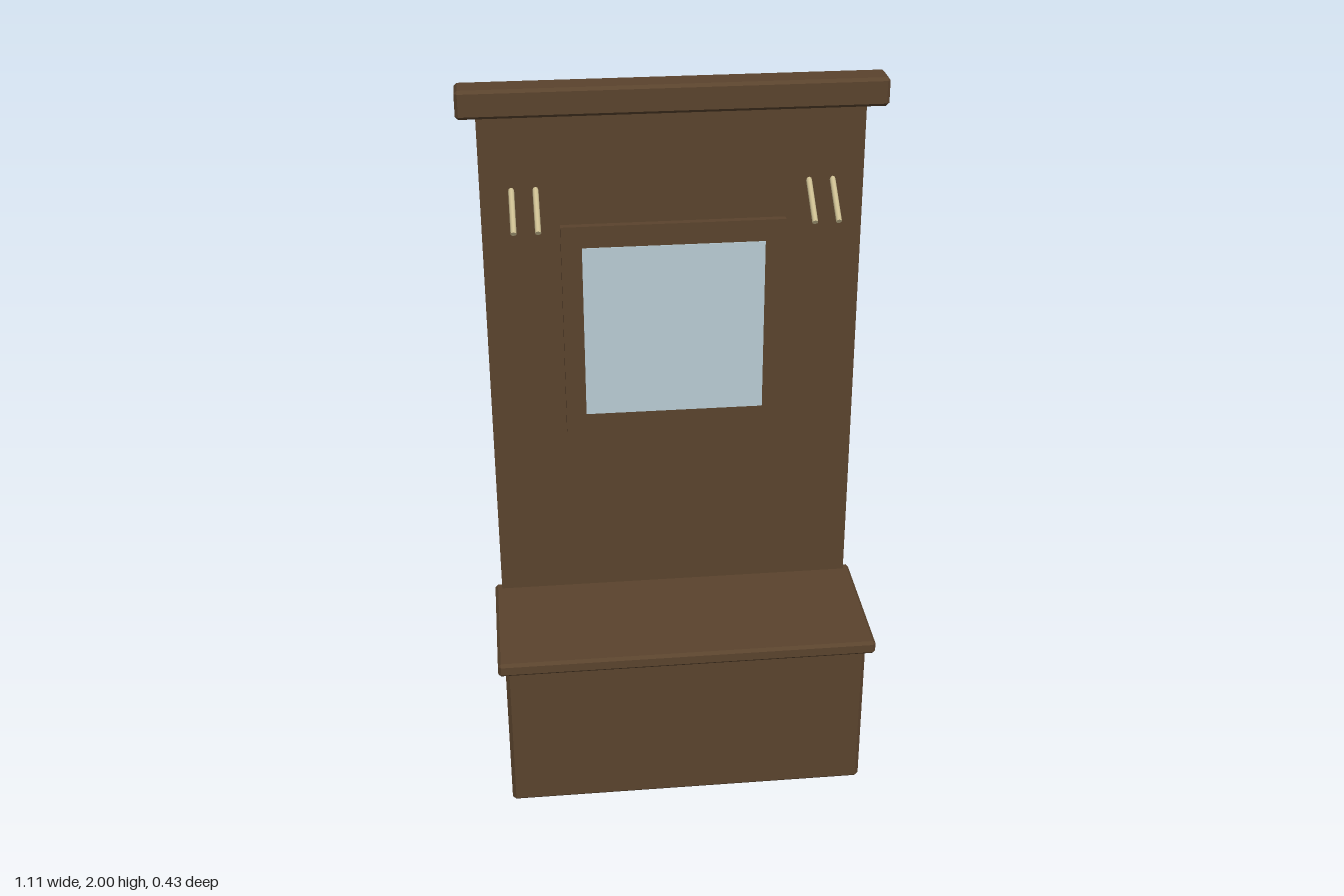
import * as THREE from 'three';
import { ConvexGeometry } from 'three/addons/geometries/ConvexGeometry.js';

const mat = (name, color) => new THREE.MeshStandardMaterial({ name, color });

// Box between two corners with every edge chamfered by c
function chamferBox([x0, y0, z0], [x1, y1, z1], c) {
  const half = [(x1 - x0) / 2, (y1 - y0) / 2, (z1 - z0) / 2];
  const points = [];
  for (const sx of [-1, 1]) for (const sy of [-1, 1]) for (const sz of [-1, 1]) {
    for (let axis = 0; axis < 3; axis++) {
      const p = half.map((h, i) => (i === axis ? h : h - c));
      points.push(new THREE.Vector3(sx * p[0], sy * p[1], sz * p[2]));
    }
  }
  return new ConvexGeometry(points).translate((x0 + x1) / 2, (y0 + y1) / 2, (z0 + z1) / 2);
}

// Plain box between two corners
function box([x0, y0, z0], [x1, y1, z1]) {
  return new THREE.BoxGeometry(x1 - x0, y1 - y0, z1 - z0)
    .translate((x0 + x1) / 2, (y0 + y1) / 2, (z0 + z1) / 2);
}

export function createModel() {
  const wood = mat('dark wood', 0x5a432d);
  const glass = mat('mirror glass', 0xb8ccd4);
  const brass = mat('pale brass', 0xcdbf92);

  const group = new THREE.Group();
  group.name = 'hallStand';
  const add = (name, geometry, material) => {
    const mesh = new THREE.Mesh(geometry, material);
    mesh.name = name;
    group.add(mesh);
    return mesh;
  };

  // Bench chest and its overhanging lid
  add('chest', chamferBox([-0.505, 0, -0.205], [0.505, 0.46, 0.18], 0.01), wood);
  add('seat', chamferBox([-0.525, 0.46, -0.205], [0.525, 0.5, 0.215], 0.008), wood);

  // Tall back board and cornice
  add('backPanel', box([-0.505, 0.5, -0.205], [0.505, 1.925, -0.175]), wood);
  add('cornice', chamferBox([-0.555, 1.925, -0.215], [0.555, 2, -0.13], 0.008), wood);

  // Mirror frame with the glass as a thin plate
  add('mirrorFrame', box([-0.3, 1.015, -0.175], [0.3, 1.62, -0.155]), wood);
  add('mirror', box([-0.245, 1.07, -0.157], [0.245, 1.56, -0.152]), glass);

  // Two pairs of pegs sloping down and forward
  const inner = new THREE.Vector3(0, 1.722, -0.18);
  const outer = new THREE.Vector3(0, 1.642, -0.066);
  const dir = outer.clone().sub(inner);
  const pegGeometry = new THREE.CylinderGeometry(0.008, 0.008, dir.length(), 8);
  for (const side of [-1, 1]) for (const x of [0.36, 0.423]) {
    const peg = add('peg', pegGeometry, brass);
    peg.position.copy(inner).add(outer).multiplyScalar(0.5).setX(side * x);
    peg.quaternion.setFromUnitVectors(new THREE.Vector3(0, 1, 0), dir.clone().normalize());
  }
  return group;
}
